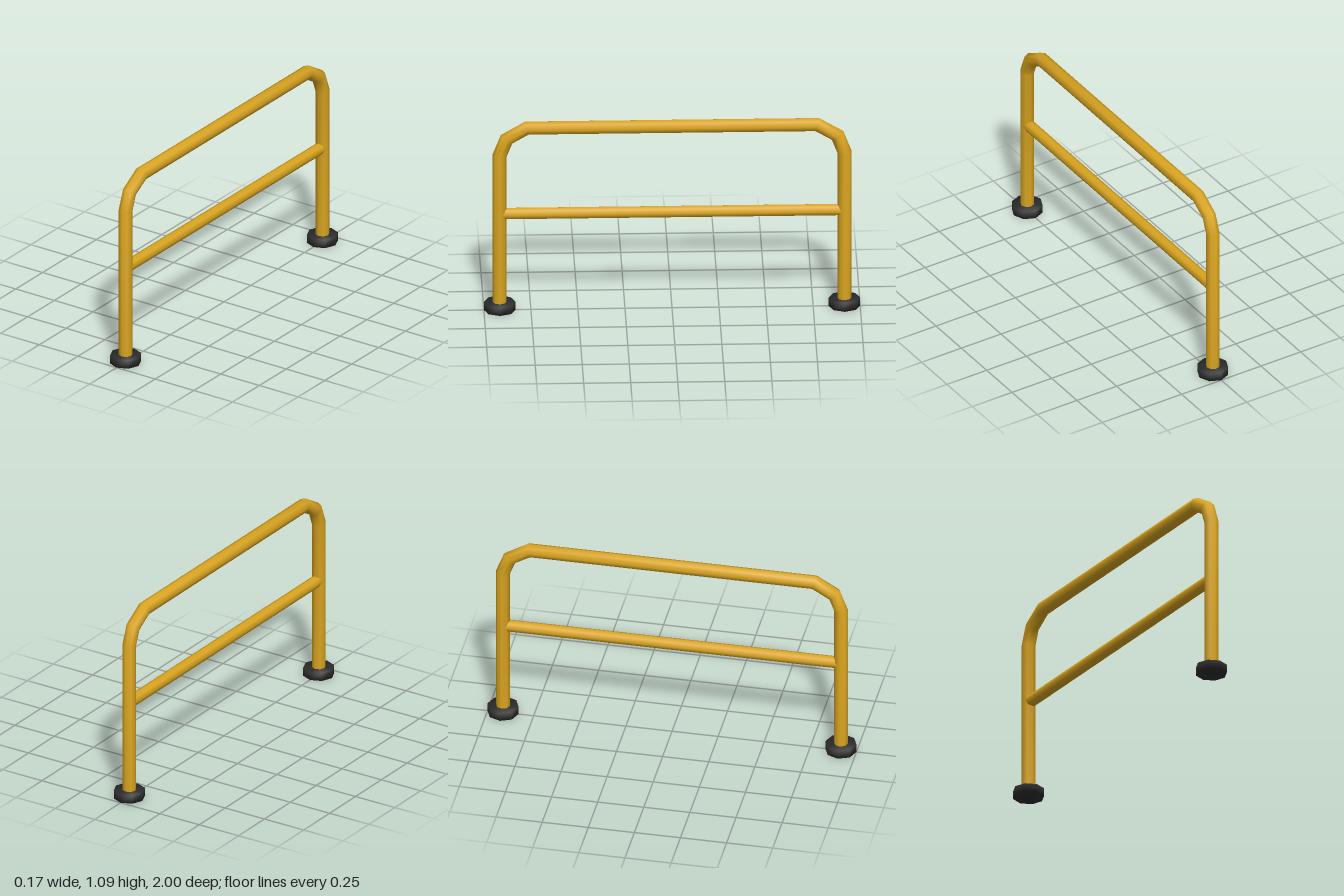
import * as THREE from 'three';
import { mergeVertices } from 'three/addons/utils/BufferGeometryUtils.js';

const SIDES = 8;
const LEG_Z = 0.916;

// Sweeps an eight-sided pipe along [z, y] points, with mitred joints.
function pipe(points, radius) {
  const path = points.map(([z, y]) => new THREE.Vector3(0, y, z));
  const last = path.length - 1;
  const geometry = new THREE.CylinderGeometry(1, 1, 1, SIDES, last, true);
  const pos = geometry.attributes.position;
  const nor = geometry.attributes.normal;
  const xAxis = new THREE.Vector3(1, 0, 0);
  for (let row = 0; row <= last; row++) {
    const p = path[row];
    const before = p.clone().sub(path[Math.max(row - 1, 0)]).normalize();
    const after = path[Math.min(row + 1, last)].clone().sub(p).normalize();
    const tangent = before.clone().add(after).normalize();
    const across = tangent.clone().cross(xAxis);
    const inner = row > 0 && row < last;
    const stretch = inner ? 1 / tangent.dot(after) : 1;
    for (let s = 0; s <= SIDES; s++) {
      const i = row * (SIDES + 1) + s;
      const x = pos.getX(i);
      const z = pos.getZ(i);
      const k = z * radius * stretch;
      pos.setXYZ(i, x * radius, p.y + across.y * k, p.z + across.z * k);
      nor.setXYZ(i, x, across.y * z, across.z * z);
    }
  }
  return geometry;
}

export function createModel() {
  const group = new THREE.Group();
  const yellow = new THREE.MeshStandardMaterial({ color: 0xdaa520 });
  yellow.name = 'yellow paint';
  const black = new THREE.MeshStandardMaterial({ color: 0x2d2d2d });
  black.name = 'black rubber';

  const add = (name, geometry, material) => {
    const mesh = new THREE.Mesh(geometry, material);
    mesh.name = name;
    group.add(mesh);
    return mesh;
  };

  // Bent hoop: two legs and the top bar in one pipe
  const half = [[LEG_Z, 0.02], [LEG_Z, 0.892], [0.88, 0.985], [0.772, 1.049]];
  const hoop = [...half, ...half.map(([z, y]) => [-z, y]).reverse()];
  add('hoop', pipe(hoop, 0.0375), yellow);

  // Thinner middle rail, ending inside the legs
  add('middleRail', pipe([[LEG_Z, 0.556], [-LEG_Z, 0.556]], 0.0325), yellow);

  // Feet, softly shaded across their edges
  const disc = new THREE.CylinderGeometry(0.084, 0.084, 0.047, SIDES);
  disc.deleteAttribute('normal');
  disc.deleteAttribute('uv');
  const foot = mergeVertices(disc);
  foot.computeVertexNormals();
  for (const side of [1, -1]) {
    add(side > 0 ? 'frontFoot' : 'backFoot', foot, black).position.set(0, 0.0235, side * LEG_Z);
  }
  return group;
}
